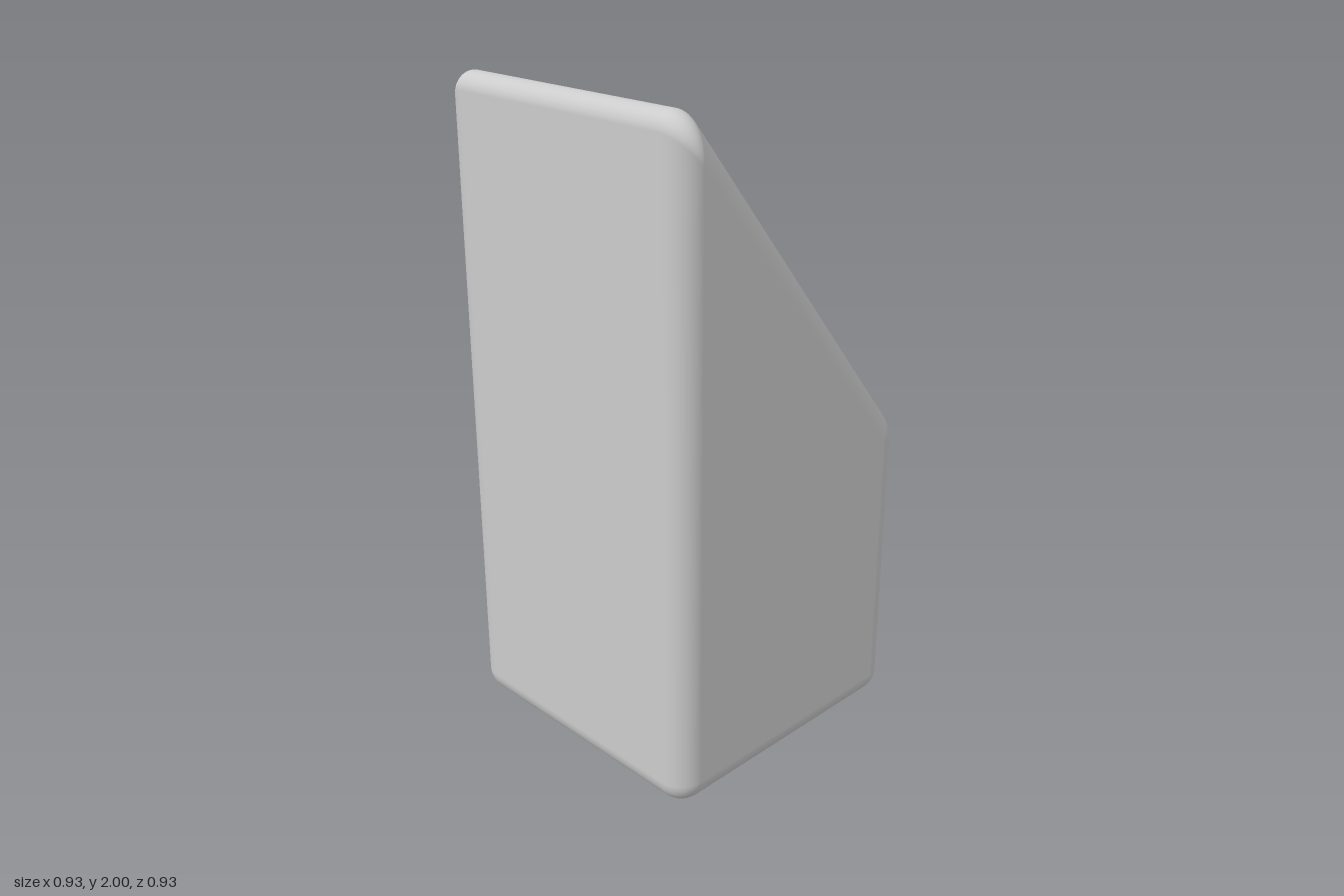
import * as THREE from 'three';

const HALF = 0.467, EDGE = 0.08; // half width, rounding of the side edges
const ARC = 10, STEPS = 10;      // facets per profile corner, per side edge

// Side profile corners: z, y, rounding radius, start and end angle of the outward normal
const slope = Math.atan2(2 * HALF, -(2.095 - 0.941));
const corners = [
  [HALF, 0, 0.08, -Math.PI / 2, 0],
  [HALF, 2.095, 0.051, 0, slope],
  [-HALF, 0.941, 0.14, slope, Math.PI],
  [-HALF, 0, 0.08, Math.PI, Math.PI * 1.5],
];

function roundedWedge() {
  const pos = [], nor = [], idx = [];
  // One loop of the profile; k shrinks it from full size (1) to the flat side face (0)
  const addRing = (x, k, nx) => {
    for (const [z, y, r, a0, a1] of corners) {
      const mid = (a0 + a1) / 2;
      const inset = (EDGE + (r - EDGE) * k) / Math.cos((a1 - a0) / 2);
      for (let i = 0; i <= ARC; i++) {
        const a = a0 + (a1 - a0) * i / ARC, c = Math.cos(a), s = Math.sin(a);
        pos.push(x, y - inset * Math.sin(mid) + r * k * s, z - inset * Math.cos(mid) + r * k * c);
        nor.push(nx, k * s, k * c);
      }
    }
  };
  for (const side of [-1, 1]) {
    for (let i = 0; i <= STEPS; i++) {
      const t = (side < 0 ? i - STEPS : i) / STEPS * Math.PI / 2;
      const k = Math.abs(t) > 1.57 ? 0 : Math.cos(t);
      addRing(side * (HALF - EDGE) + EDGE * Math.sin(t), k, Math.sin(t));
    }
  }
  // Skin between the loops
  const n = corners.length * (ARC + 1), rings = 2 * (STEPS + 1);
  for (let i = 0; i < rings - 1; i++) {
    for (let j = 0; j < n; j++) {
      const a = i * n + j, b = i * n + (j + 1) % n;
      idx.push(a, a + n, b + n, a, b + n, b);
    }
  }
  // Flat side faces
  for (const side of [-1, 1]) {
    const centre = pos.length / 3, base = side < 0 ? 0 : (rings - 1) * n;
    pos.push(side * HALF, 0.75, 0);
    nor.push(side, 0, 0);
    for (let j = 0; j < n; j++) {
      const a = base + j, b = base + (j + 1) % n;
      idx.push(centre, ...(side < 0 ? [a, b] : [b, a]));
    }
  }
  const g = new THREE.BufferGeometry();
  g.setAttribute('position', new THREE.Float32BufferAttribute(pos, 3));
  g.setAttribute('normal', new THREE.Float32BufferAttribute(nor, 3));
  g.setIndex(idx);
  return g;
}

export function createModel() {
  const group = new THREE.Group();
  const block = new THREE.Mesh(roundedWedge(), new THREE.MeshStandardMaterial({ color: 0xcccccc }));
  block.name = 'slopedBlock';
  group.add(block);
  return group;
}
